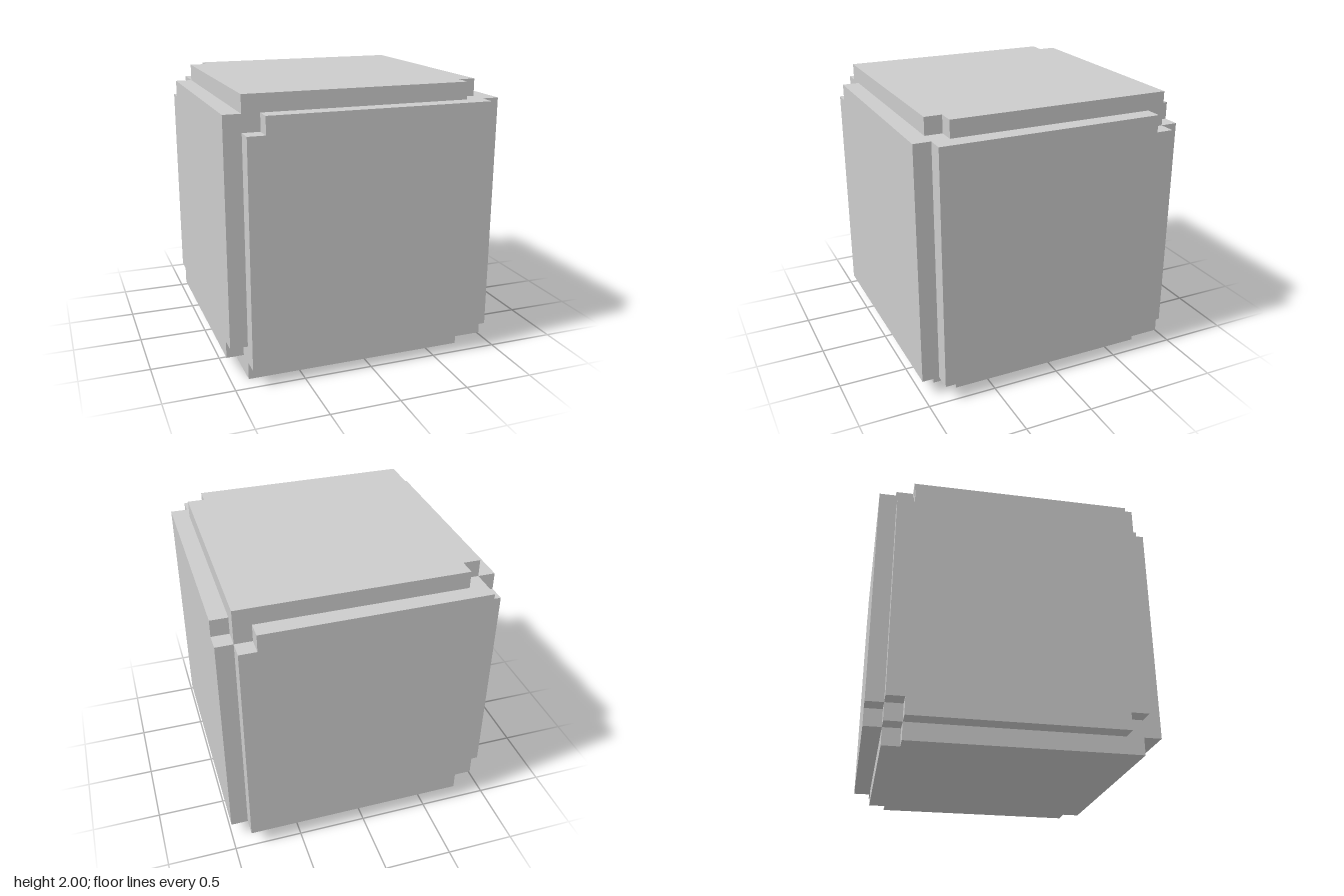
import * as THREE from 'three';

const STEP = 0.125;          // panel thickness and notch size
const HALF = 1 - STEP;       // half width of the core and the panels

// Square outline with the listed corners ([u, v] signs) cut back by one step
function panelShape(notches) {
  const pts = [];
  for (const [u, v] of [[-1, -1], [1, -1], [1, 1], [-1, 1]]) {
    const corner = (du, dv) => new THREE.Vector2(u * (HALF - du), v * (HALF - dv));
    if (notches.some(([a, b]) => a === u && b === v)) {
      const trio = [corner(0, STEP), corner(STEP, STEP), corner(STEP, 0)];
      pts.push(...(u * v > 0 ? trio : trio.reverse()));
      // counter-clockwise order: reach (1,1) and (-1,-1) along the vertical edge
    } else pts.push(corner(0, 0));
  }
  return new THREE.Shape(pts);
}

export function createModel() {
  const group = new THREE.Group();
  const material = new THREE.MeshStandardMaterial({ color: 0xcccccc, flatShading: true });
  const add = (name, geometry) => {
    const mesh = new THREE.Mesh(geometry, material);
    mesh.name = name;
    group.add(mesh);
  };

  // Solid core
  add('core', new THREE.BoxGeometry(2 * HALF, 2 * HALF, 2 * HALF).translate(0, 1, 0));

  // Raised panels: name, u axis, v axis, notched corners
  const panels = [
    ['frontPanel', [1, 0, 0], [0, 1, 0], [[-1, 1]]],
    ['backPanel', [-1, 0, 0], [0, 1, 0], [[-1, 1], [1, -1]]],
    ['leftPanel', [0, 0, -1], [0, 1, 0], [[1, 1]]],
    ['rightPanel', [0, 0, 1], [0, 1, 0], [[-1, 1], [1, -1], [-1, -1]]],
    ['topPanel', [1, 0, 0], [0, 0, -1], [[1, -1], [-1, 1]]],
    ['bottomPanel', [1, 0, 0], [0, 0, 1], [[1, 1], [1, -1], [-1, -1]]],
  ];
  for (const [name, uAxis, vAxis, notches] of panels) {
    const u = new THREE.Vector3(...uAxis);
    const v = new THREE.Vector3(...vAxis);
    const n = new THREE.Vector3().crossVectors(u, v);
    const geometry = new THREE.ExtrudeGeometry(panelShape(notches), { depth: STEP, bevelEnabled: false });
    geometry.translate(0, 0, HALF);
    geometry.applyMatrix4(new THREE.Matrix4().makeBasis(u, v, n));
    add(name, geometry.translate(0, 1, 0));
  }
  return group;
}
